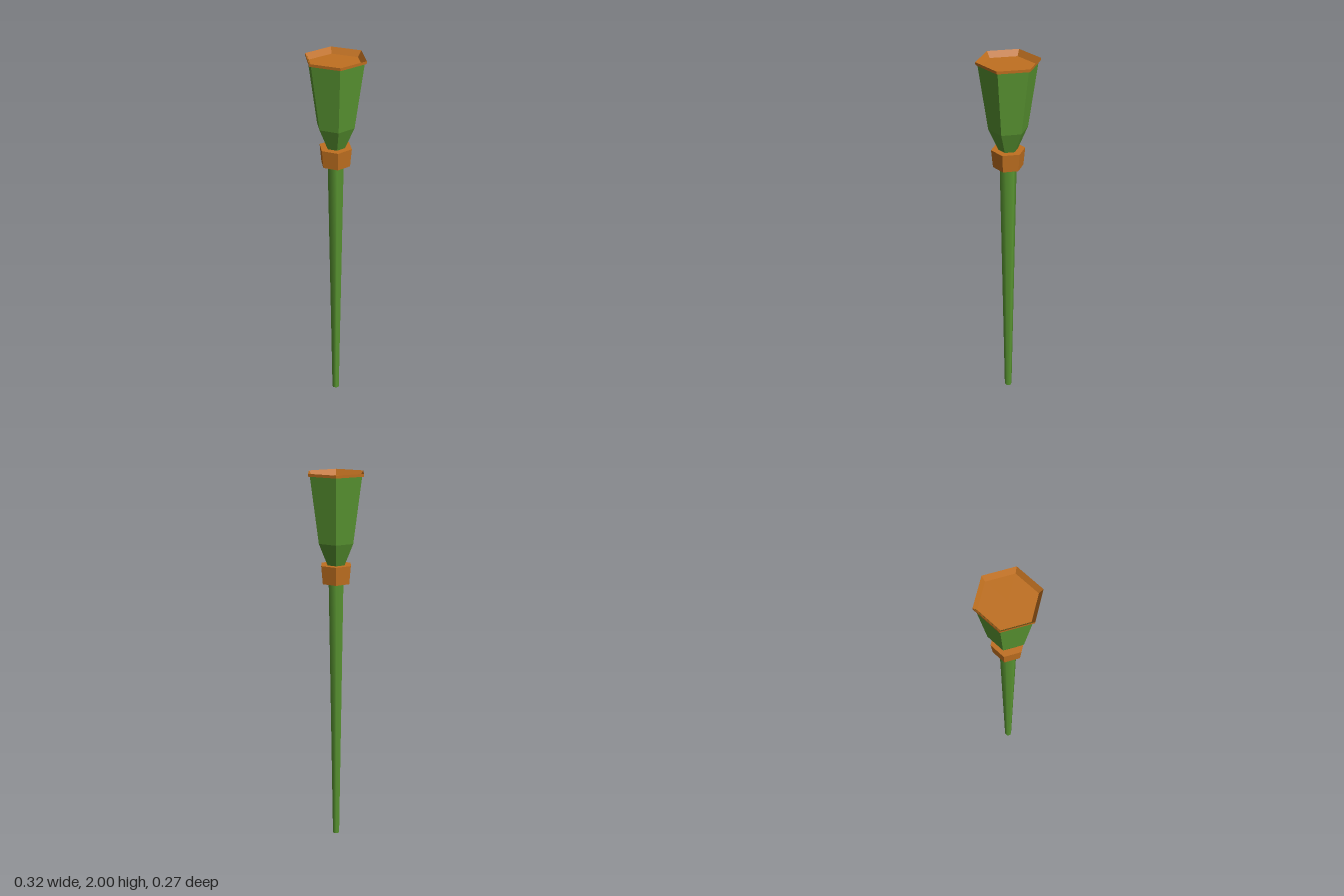
import * as THREE from 'three';

const SIDES = 6;
const green = new THREE.MeshStandardMaterial({ color: 0x5a9632 });
const brown = new THREE.MeshStandardMaterial({ color: 0xc07020 });

// Six-sided tapered section with corners on the x axis
function hexSection(rTop, rBottom, yTop, yBottom, open = false) {
  const g = new THREE.CylinderGeometry(rTop, rBottom, yTop - yBottom, SIDES, 1, open, Math.PI / 2);
  return g.translate(0, (yTop + yBottom) / 2, 0);
}

// Faceted six-sided surface turned from [radius, y] points
function hexLathe(points) {
  const profile = points.map(([r, y]) => new THREE.Vector2(r, y));
  const g = new THREE.LatheGeometry(profile, SIDES, Math.PI / 2).toNonIndexed();
  g.computeVertexNormals();
  return g;
}

export function createModel() {
  const group = new THREE.Group();
  const add = (name, geometry, material) => {
    const mesh = new THREE.Mesh(geometry, material);
    mesh.name = name;
    group.add(mesh);
  };

  // Slender handle, softly shaded around its six sides
  add('handle', hexSection(0.044, 0.02, 1.46, 0), green);

  // Collar between handle and head
  const collar = hexLathe([[0, 1.44], [0.078, 1.44], [0.087, 1.535], [0, 1.535]]);
  add('collar', collar, brown);

  // Flared head
  add('head', hexLathe([[0.046, 1.52], [0.05, 1.535], [0.1, 1.65], [0.148, 1.988]]), green);

  // Rim with a sloped inner wall down to the recessed end plate
  const rim = hexLathe([[0.146, 1.986], [0.157, 1.986], [0.158, 2], [0.138, 1.97], [0, 1.97]]);
  add('rim', rim, brown);

  return group;
}
